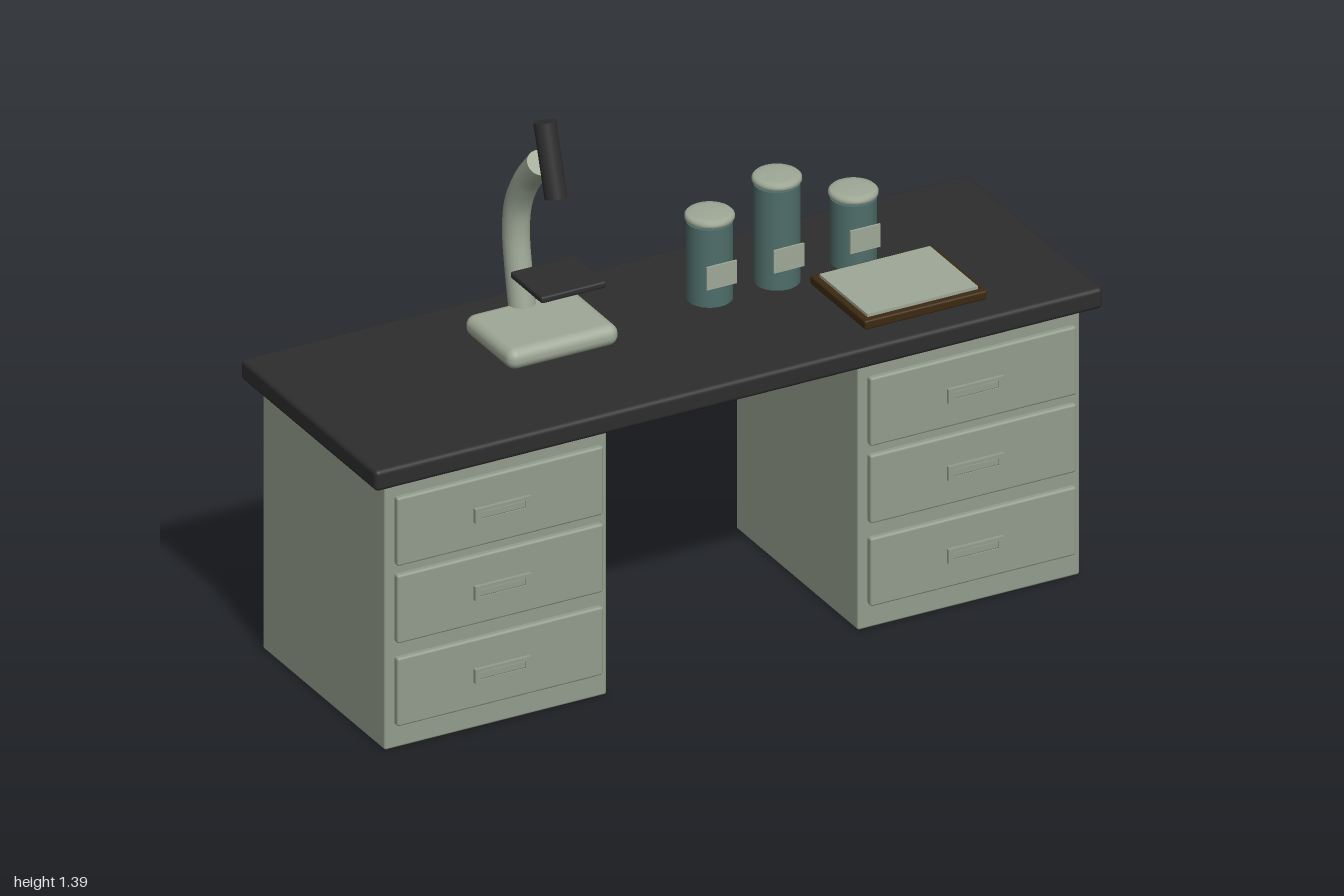
import * as THREE from 'three';
import { RoundedBoxGeometry } from 'three/addons/geometries/RoundedBoxGeometry.js';

const mat = (name, color) => {
  const m = new THREE.MeshStandardMaterial({ color });
  m.name = name;
  return m;
};

export function createModel() {
  const root = new THREE.Group();
  root.name = 'labDesk';
  const sage = mat('sage paint', 0x929d8c);
  const pale = mat('pale sage', 0x9fa997);
  const dark = mat('charcoal', 0x2d2d2e);
  const teal = mat('teal glass', 0x4e6d69);
  const brown = mat('dark wood', 0x3c2910);

  const add = (parent, name, geo, material, x = 0, y = 0, z = 0) => {
    const mesh = new THREE.Mesh(geo, material);
    mesh.name = name;
    mesh.position.set(x, y, z);
    parent.add(mesh);
    return mesh;
  };
  const group = (name, x = 0, y = 0, z = 0) => {
    const g = new THREE.Group();
    g.name = name;
    g.position.set(x, y, z);
    root.add(g);
    return g;
  };
  const rbox = (w, h, d, r) => new RoundedBoxGeometry(w, h, d, 3, r);

  // Worktop
  add(root, 'worktop', rbox(2, 0.056, 0.68, 0.012), dark, 0, 0.753, -0.002);

  // Two drawer cabinets
  const drawers = [[0.162, 0.185], [0.387, 0.185], [0.597, 0.185]];
  for (const side of [-1, 1]) {
    const cab = group(side < 0 ? 'rightCabinet' : 'leftCabinet', side * 0.65 - 0.003, 0, 0);
    add(cab, 'carcass', rbox(0.61, 0.727, 0.61, 0.006), sage, 0, 0.3635, 0);
    for (const [y, h] of drawers) {
      add(cab, 'drawerFront', rbox(0.566, h, 0.02, 0.006), sage, 0, y, 0.32);
      // Pull: rounded frame with a raised grip and two short posts
      const shape = new THREE.Shape();
      shape.moveTo(-0.077, -0.019).lineTo(0.077, -0.019).lineTo(0.077, 0.019).lineTo(-0.077, 0.019);
      const hole = new THREE.Path();
      hole.moveTo(-0.062, -0.01).lineTo(-0.062, 0.01).lineTo(0.062, 0.01).lineTo(0.062, -0.01);
      shape.holes.push(hole);
      const frame = new THREE.ExtrudeGeometry(shape, { depth: 0.009, bevelEnabled: false });
      add(cab, 'pullFrame', frame, sage, 0, y - 0.002, 0.335);
      add(cab, 'pullGrip', rbox(0.13, 0.022, 0.012, 0.004), sage, 0, y - 0.002, 0.336);
      for (const s of [-1, 1]) {
        add(cab, 'pullPost', new THREE.BoxGeometry(0.012, 0.024, 0.01), sage, s * 0.068, y - 0.002, 0.332);
      }
    }
  }

  // Microscope
  const scope = group('microscope', -0.32, 0, 0);
  add(scope, 'base', rbox(0.305, 0.056, 0.24, 0.026), pale, 0, 0.812, -0.07);
  const path = new THREE.CatmullRomCurve3([
    [0.825, -0.168], [0.92, -0.187], [1.02, -0.2], [1.1, -0.19], [1.18, -0.148], [1.262, -0.078],
  ].map(([y, z]) => new THREE.Vector3(0, y, z)));
  add(scope, 'arm', new THREE.TubeGeometry(path, 40, 0.034, 20, false), pale);
  for (const [t, s] of [[0, -1], [1, 1]]) {
    const cap = add(scope, 'armCap', new THREE.CircleGeometry(0.034, 20), pale);
    cap.position.copy(path.getPoint(t));
    cap.quaternion.setFromUnitVectors(new THREE.Vector3(0, 0, 1), path.getTangent(t).multiplyScalar(s));
  }
  const head = add(scope, 'eyepieceTube', new THREE.CylinderGeometry(0.028, 0.028, 0.19, 24), dark, 0, 1.293, -0.028);
  head.rotation.x = -0.3;
  add(scope, 'stage', rbox(0.18, 0.018, 0.158, 0.006), dark, 0, 0.986, 0.013);

  // Three lidded jars with flat labels
  for (const [x, top] of [[0.145, 0.99], [0.33, 1.046], [0.54, 0.956]]) {
    const jar = group('jar', x, 0, -0.078);
    const h = top - 0.781;
    add(jar, 'jarBody', new THREE.CylinderGeometry(0.057, 0.057, h, 32), teal, 0, 0.781 + h / 2, 0);
    add(jar, 'jarNeck', new THREE.CylinderGeometry(0.045, 0.045, 0.014, 24), pale, 0, top + 0.006, 0);
    const lid = [[0, 0], [0.058, 0], [0.061, 0.003], [0.061, 0.011], [0.056, 0.016], [0.04, 0.018], [0, 0.019]];
    const lidGeo = new THREE.LatheGeometry(lid.map(([r, y]) => new THREE.Vector2(r, y)), 32);
    add(jar, 'jarLid', lidGeo, pale, 0, top + 0.006, 0);
    add(jar, 'jarLabel', new THREE.BoxGeometry(0.083, 0.062, 0.005), pale, 0, 0.867, 0.059);
  }

  // Framed tablet lying on the worktop
  const tablet = group('framedPanel', 0.557, 0, 0.118);
  add(tablet, 'woodFrame', rbox(0.336, 0.024, 0.276, 0.005), brown, 0, 0.793, 0);
  add(tablet, 'panel', new THREE.BoxGeometry(0.304, 0.009, 0.24), pale, 0, 0.8085, 0);

  return root;
}
